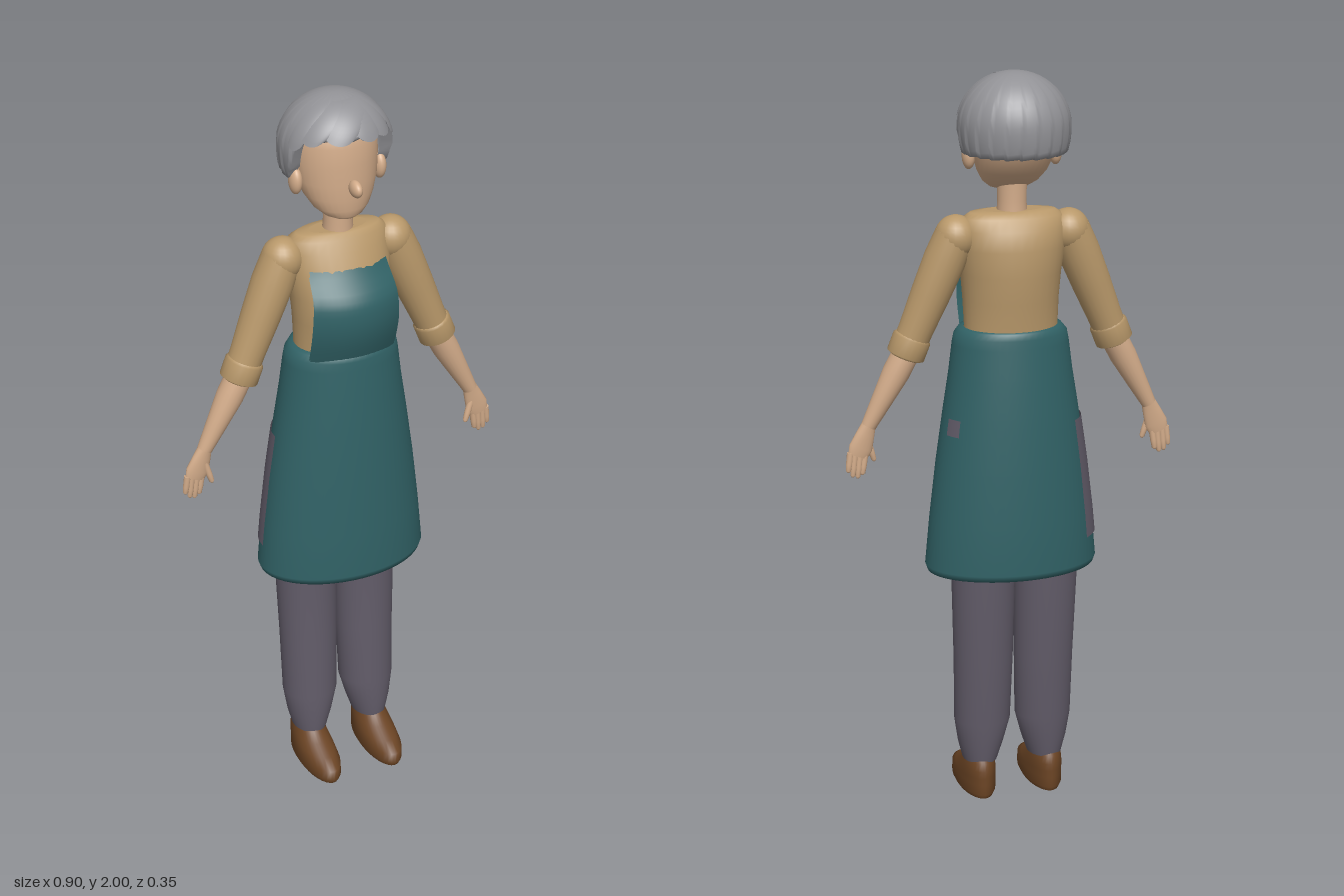
import * as THREE from 'three';
import { mergeVertices, mergeGeometries } from 'three/addons/utils/BufferGeometryUtils.js';

const material = (name, color) => {
  const m = new THREE.MeshStandardMaterial({ color });
  m.name = name;
  m.side = THREE.DoubleSide;
  return m;
};
const skin = material('skin', 0xd3ac8a);
const shirt = material('shirt', 0xb8986a);
const apron = material('apron', 0x316266);
const pants = material('trousers', 0x625c69);
const leather = material('shoe leather', 0x6b4424);
const grey = material('grey hair', 0x929296);

// Smooth surface from f(u, v) -> [x, y, z]; u runs around, v runs up
function surface(nu, nv, f) {
  const pos = [], idx = [];
  for (let j = 0; j <= nv; j++)
    for (let i = 0; i <= nu; i++) pos.push(...f(i / nu, j / nv));
  for (let j = 0; j < nv; j++)
    for (let i = 0; i < nu; i++) {
      const a = j * (nu + 1) + i, b = a + nu + 1;
      idx.push(a, b, a + 1, a + 1, b, b + 1);
    }
  let g = new THREE.BufferGeometry();
  g.setAttribute('position', new THREE.Float32BufferAttribute(pos, 3));
  g.setIndex(idx);
  g = mergeVertices(g, 1e-5);
  g.computeVertexNormals();
  return g;
}

// Point on an elliptical ring [y, rx, rz, cx, cz]
const onRing = ([y, rx, rz, cx = 0, cz = 0], t) => [cx + rx * Math.cos(t), y, cz + rz * Math.sin(t)];

// Body through a stack of rings, with flat end caps unless open
function loft(rings, open = false, n = 32) {
  const last = rings.length - 1;
  const side = surface(n, last, (u, v) => onRing(rings[Math.round(v * last)], u * Math.PI * 2));
  if (open) return side;
  const cap = (ring, up) => surface(n, 1, (u, v) => {
    const [x, y, z] = onRing(ring, u * Math.PI * 2);
    const k = (v > 0.5) === up ? 0 : 1;
    return [(ring[3] || 0) + (x - (ring[3] || 0)) * k, y, (ring[4] || 0) + (z - (ring[4] || 0)) * k];
  });
  return mergeGeometries([side, cap(rings[0], false), cap(rings[last], true)]);
}

// Ring interpolated at height y
function ringAt(rings, y) {
  let i = 0;
  while (i < rings.length - 2 && rings[i + 1][0] < y) i++;
  const k = (y - rings[i][0]) / (rings[i + 1][0] - rings[i][0]);
  return rings[i].map((a, n) => a + (rings[i + 1][n] - a) * k);
}

export function createModel() {
  const model = new THREE.Group();
  const add = (name, geometry, mat, parent = model) => {
    const mesh = new THREE.Mesh(geometry, mat);
    mesh.name = name;
    parent.add(mesh);
    return mesh;
  };
  const ball = (name, mat, p, r, parent) => {
    const m = add(name, new THREE.SphereGeometry(1, 24, 16), mat, parent);
    m.position.set(...p);
    m.scale.set(...r);
    return m;
  };
  // Round limb between two points; stations are [fraction, rx, rz]
  const limb = (name, mat, from, to, stations, parent) => {
    const a = new THREE.Vector3(...from), d = new THREE.Vector3(...to).sub(a);
    const m = add(name, loft(stations.map(([k, rx, rz = rx]) => [k * d.length(), rx, rz]), false, 20), mat, parent);
    m.position.copy(a);
    m.quaternion.setFromUnitVectors(new THREE.Vector3(0, 1, 0), d.normalize());
    return m;
  };

  // Torso and neck
  add('shirtBody', loft([
    [1.22, 0.13, 0.09, 0, 0], [1.33, 0.125, 0.098, 0, 0.002], [1.4, 0.128, 0.108, 0, 0.004],
    [1.47, 0.134, 0.112, 0, 0.002], [1.54, 0.142, 0.1, 0, -0.01], [1.59, 0.142, 0.08, 0, -0.018],
    [1.62, 0.135, 0.062, 0, -0.014], [1.633, 0.115, 0.048, 0, -0.012], [1.636, 0.08, 0.035, 0, -0.01],
  ]), shirt);
  add('neck', loft([[1.6, 0.042, 0.042, 0, -0.01], [1.66, 0.038, 0.038, 0, -0.008], [1.76, 0.04, 0.042, 0, -0.01]]), skin);

  // Head, nose and ears
  add('head', loft([
    [1.684, 0.03, 0.025, 0, 0.035], [1.692, 0.052, 0.043, 0, 0.024], [1.71, 0.074, 0.062, 0, 0.009],
    [1.74, 0.092, 0.082, 0, -0.008], [1.78, 0.106, 0.097, 0, -0.022], [1.83, 0.112, 0.107, 0, -0.033],
    [1.88, 0.112, 0.108, 0, -0.036], [1.93, 0.1, 0.097, 0, -0.036], [1.965, 0.06, 0.06, 0, -0.034],
  ]), skin);
  ball('nose', skin, [0, 1.782, 0.098], [0.015, 0.022, 0.028]);
  for (const s of [-1, 1]) ball('ear', skin, [s * 0.116, 1.782, -0.01], [0.017, 0.036, 0.024]);

  // Hair cap, long behind the ears and short over the forehead
  const saw = (x) => x - Math.floor(x);
  const step = THREE.MathUtils.smoothstep;
  const hairPoint = (a, th, k) => {
    const r = th > Math.PI / 2 ? Math.sqrt(Math.sin(th)) : Math.sin(th);
    return [0.146 * k * r * Math.sin(a), 1.86 + 0.138 * k * Math.cos(th), -0.03 + 0.143 * k * r * Math.cos(a)];
  };
  add('hairCap', surface(176, 18, (u, v) => {
    const a = u * Math.PI * 2, fromFront = Math.min(a, Math.PI * 2 - a);
    const w = Math.min(1, (1 - v) * 18 / 17);
    const strand = saw(u * 22 + 0.5 * w);
    const end = 1.2 + 0.92 * step(fromFront, 1.0, 1.45) - 0.07 * strand;
    const inner = v < 0.01 ? 0.8 : 1;
    const p = hairPoint(a, end * w, 1 + 0.035 * (strand - 0.5) * w * w);
    return [p[0] * inner, p[1], -0.03 + (p[2] + 0.03) * inner];
  }), grey);

  // Overlapping fringe locks: [start angle, end angle, half width, lift, length]
  const locks = [[-0.2, -0.85, 0.34, 1.035, 1.28], [0.5, 0.72, 0.36, 1.03, 1.27],
    [0.35, -0.3, 0.4, 1.055, 1.24], [0.1, 0.3, 0.36, 1.045, 1.25], [-0.9, -1.2, 0.25, 1.025, 1.42], [0.9, 1.2, 0.25, 1.025, 1.42]];
  for (const [a0, a1, half, lift, length] of locks)
    add('fringeLock', surface(10, 12, (u, v) => {
      const w = 1 - v, s = u * 2 - 1;
      const width = half * (1 - 0.35 * w * w);
      const th = 0.35 + (length - 0.35 - 0.1 * s * s) * w;
      return hairPoint(a0 + (a1 - a0) * w - s * width, th, 1 + (lift - 1) * Math.sqrt(w) - 0.025 * s * s * w);
    }), grey);

  // Arms, hands mirrored on both sides
  for (const s of [-1, 1]) {
    const arm = new THREE.Group();
    arm.name = s > 0 ? 'leftArm' : 'rightArm';
    model.add(arm);
    const P = (x, y, z) => [s * x, y, z];
    ball('shoulder', shirt, P(0.152, 1.572, -0.014), [0.056, 0.058, 0.056], arm);
    limb('sleeve', shirt, P(0.155, 1.575, -0.014), P(0.283, 1.27, 0),
      [[0, 0.053], [0.2, 0.056], [0.5, 0.052], [0.8, 0.046], [1, 0.045]], arm);
    limb('cuff', shirt, P(0.266, 1.312, 0), P(0.288, 1.256, 0.001),
      [[0, 0.046], [0.1, 0.051], [0.9, 0.051], [1, 0.04]], arm);
    limb('forearm', skin, P(0.28, 1.275, 0), P(0.387, 1.075, 0.004),
      [[0, 0.036], [0.3, 0.036], [0.7, 0.027], [1, 0.02]], arm);
    limb('palm', skin, P(0.384, 1.085, 0.004), P(0.417, 0.995, 0.004),
      [[0, 0.018, 0.017], [0.35, 0.025, 0.015], [0.75, 0.032, 0.014], [1, 0.027, 0.011]], arm);
    const finger = [[0, 0.009], [0.6, 0.0085], [0.92, 0.007], [1, 0.003]];
    [[0.397, 0.406, 0.943], [0.411, 0.419, 0.934], [0.425, 0.432, 0.938], [0.437, 0.444, 0.952]].forEach(([x0, x1, y1]) =>
      limb('finger', skin, P(x0, 1.005, 0.004), P(x1, y1, 0.002), finger, arm));
    limb('thumb', skin, P(0.392, 1.045, 0.008), P(0.371, 0.975, 0.012), finger, arm);
  }

  // Trouser legs and shoes
  for (const s of [-1, 1]) {
    add('trouserLeg', loft([
      [0.1, 0.047, 0.06, s * 0.092, -0.006], [0.15, 0.062, 0.066, s * 0.09, -0.008],
      [0.22, 0.077, 0.07, s * 0.086, -0.012], [0.4, 0.081, 0.073, s * 0.085, -0.022],
      [0.66, 0.087, 0.077, s * 0.087, -0.034], [0.85, 0.09, 0.085, s * 0.088, -0.03], [1.1, 0.08, 0.09, s * 0.075, -0.01],
    ]), pants);
    add('shoe', loft([
      [0, 0.046, 0.122, s * 0.095, 0.047], [0.012, 0.052, 0.128, s * 0.095, 0.047], [0.04, 0.052, 0.126, s * 0.095, 0.046],
      [0.06, 0.05, 0.106, s * 0.095, 0.026], [0.08, 0.046, 0.084, s * 0.095, 0.005],
      [0.1, 0.041, 0.064, s * 0.095, -0.008], [0.115, 0.036, 0.054, s * 0.095, -0.008],
    ]), leather);
  }

  // Apron skirt with a folded hem and waistband
  const skirt = [
    [0.672, 0.235, 0.155, 0, 0.005], [0.8, 0.223, 0.151, 0, 0.004], [0.95, 0.205, 0.145, 0, 0.004],
    [1.1, 0.183, 0.135, 0, 0.005], [1.2, 0.167, 0.126, 0, 0.006], [1.28, 0.157, 0.118, 0, 0.007],
    [1.305, 0.152, 0.115, 0, 0.007], [1.322, 0.138, 0.112, 0, 0.007], [1.325, 0.126, 0.1, 0, 0.004],
  ];
  add('apronSkirt', loft([[0.85, 0.2, 0.135, 0, 0.004], [0.67, 0.222, 0.144, 0, 0.005],
    [0.655, 0.229, 0.15, 0, 0.005], ...skirt], true, 48), apron);

  // Curved bib with thin side edges
  const bibDepth = (y) => 0.117 + 0.029 * Math.sin(Math.PI * Math.min(1, (y - 1.31) / 0.24)) - 0.035 * step(y, 1.47, 1.56);
  const bib = (offset) => surface(16, 14, (u, v) => {
    const y = 1.31 + 0.243 * v, x = (1 - 2 * u) * (0.119 - 0.012 * v + 0.006 * Math.sin(v * Math.PI));
    return [x, y, bibDepth(y) - 2.6 * x * x + offset];
  });
  add('apronBib', bib(0), apron);
  add('bibLining', bib(-0.007), apron);

  // Side panels lying on the skirt: [name, first angle, last angle, low, high]
  for (const [name, t0, t1, low, high] of [
    ['rightSidePanel', 3.08, 3.78, 0.74, 1.07], ['leftSideGap', -0.58, -0.3, 1.045, 1.09]])
    add(name, surface(10, 10, (u, v) => {
      const [y, rx, rz, cx, cz] = ringAt(skirt, low + (high - low) * v);
      return onRing([y, rx + 0.004, rz + 0.004, cx, cz], t0 + (t1 - t0) * u);
    }), pants);

  return model;
}
